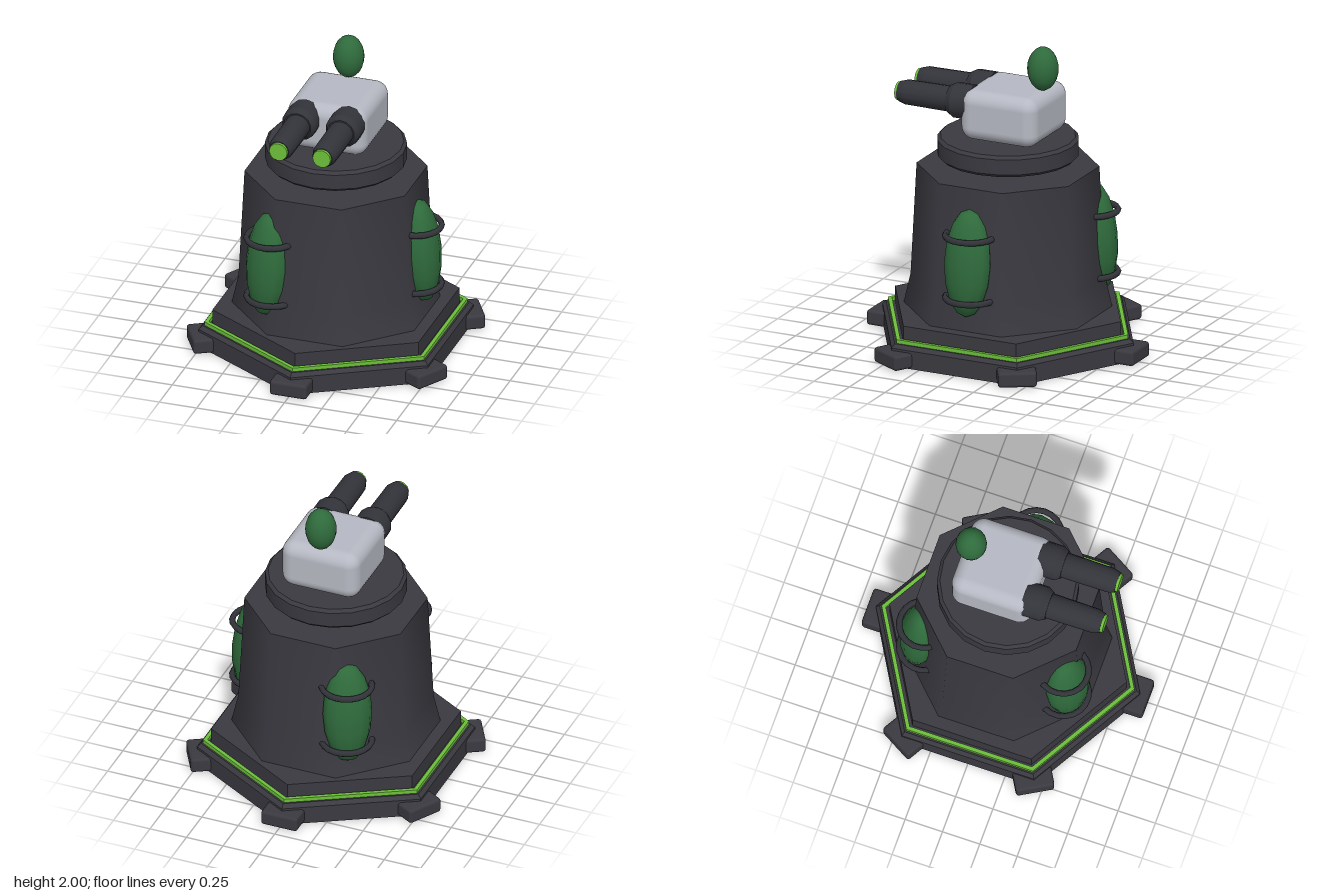
import * as THREE from 'three';
import { toCreasedNormals } from 'three/addons/utils/BufferGeometryUtils.js';
import { RoundedBoxGeometry } from 'three/addons/geometries/RoundedBoxGeometry.js';

const paint = (name, color) => {
  const m = new THREE.MeshStandardMaterial({ color });
  m.name = name;
  return m;
};

// Turned solid from [radius, height] pairs, listed bottom to top
function turned(profile, sides, crease, start = 0) {
  const pts = profile.map(([r, y]) => new THREE.Vector2(r, y));
  return toCreasedNormals(new THREE.LatheGeometry(pts, sides, start), crease);
}

export function createModel() {
  const model = new THREE.Group();
  model.name = 'turret';
  const dark = paint('charcoal', 0x3a3940);
  const gun = paint('gunmetal', 0x33343a);
  const green = paint('deep green', 0x2f6b3c);
  const glow = paint('bright green', 0x6cbf3a);
  const grey = paint('light grey', 0xb6b9c3);

  const add = (name, geometry, material, parent = model) => {
    const mesh = new THREE.Mesh(geometry, material);
    mesh.name = name;
    parent.add(mesh);
    return mesh;
  };

  // Hexagonal base, glowing trim and upper step
  add('base', turned([[0, 0], [0.885, 0], [0.885, 0.12], [0.86, 0.145], [0, 0.145]], 6, 0.3), dark);
  add('trim', turned([[0.847, 0.14], [0.847, 0.17], [0.818, 0.17], [0.818, 0.14], [0.847, 0.14]], 6, 0.3), glow);
  add('step', turned([[0.795, 0.14], [0.795, 0.25], [0, 0.25]], 6, 0.3), dark);

  // A foot at each corner of the base
  for (let i = 0; i < 6; i++) {
    const a = (i * Math.PI) / 3;
    const foot = add('foot', new RoundedBoxGeometry(0.248, 0.1, 0.22, 2, 0.02), dark);
    foot.position.set(Math.sin(a) * 0.83, 0.055, Math.cos(a) * 0.83);
    foot.rotation.y = a;
  }

  // Eight-sided flared body and the floating turntable above it
  add('body', turned([[0.66, 0.25], [0.617, 0.44], [0.579, 1.18], [0, 1.18]], 8, 0.85, Math.PI / 8), dark);
  add('turntable', turned([[0, 1.24], [0.43, 1.24], [0.45, 1.26], [0.45, 1.36], [0.43, 1.38], [0, 1.38]], 20, 0.5), dark);

  // Three pods around the body, each held by two hoops
  for (let i = 0; i < 3; i++) {
    const pod = new THREE.Group();
    pod.name = 'podAssembly';
    pod.rotation.y = (i * Math.PI * 2) / 3;
    model.add(pod);
    const tank = add('pod', new THREE.SphereGeometry(1, 12, 8), green, pod);
    tank.scale.set(0.12, 0.353, 0.158);
    tank.position.set(0.575, 0.695, 0);
    tank.rotation.z = 0.075;
    for (const y of [0.457, 0.87]) {
      const hoop = add('podHoop', new THREE.TorusGeometry(0.16, 0.02, 6, 20), gun, pod);
      hoop.rotation.x = Math.PI / 2;
      hoop.position.set(0.538, y, 0);
    }
  }

  // Gun housing
  const housing = add('housing', new RoundedBoxGeometry(0.53, 0.328, 0.535, 4, 0.085), grey);
  housing.position.set(0, 1.552, -0.04);

  // Twin barrels pointing forward, with glowing muzzles
  for (const side of [-1, 1]) {
    const barrel = new THREE.Group();
    barrel.name = side > 0 ? 'leftBarrel' : 'rightBarrel';
    barrel.position.set(side * 0.145, 1.612, 0);
    barrel.rotation.x = Math.PI / 2;
    model.add(barrel);
    add('barrelTube', turned([
      [0, 0.165], [0.114, 0.165], [0.114, 0.29], [0.092, 0.33], [0.083, 0.33],
      [0.08, 0.64], [0.066, 0.685], [0, 0.685],
    ], 14, 0.47), gun, barrel);
    add('muzzle', turned([[0.062, 0.68], [0.06, 0.702], [0, 0.702]], 12, 0.6), glow, barrel);
  }

  // Egg-shaped sensor on the housing
  const sensor = add('sensor', new THREE.SphereGeometry(1, 16, 12), green);
  sensor.scale.set(0.1, 0.143, 0.1);
  sensor.position.set(0, 1.857, -0.246);

  return model;
}
